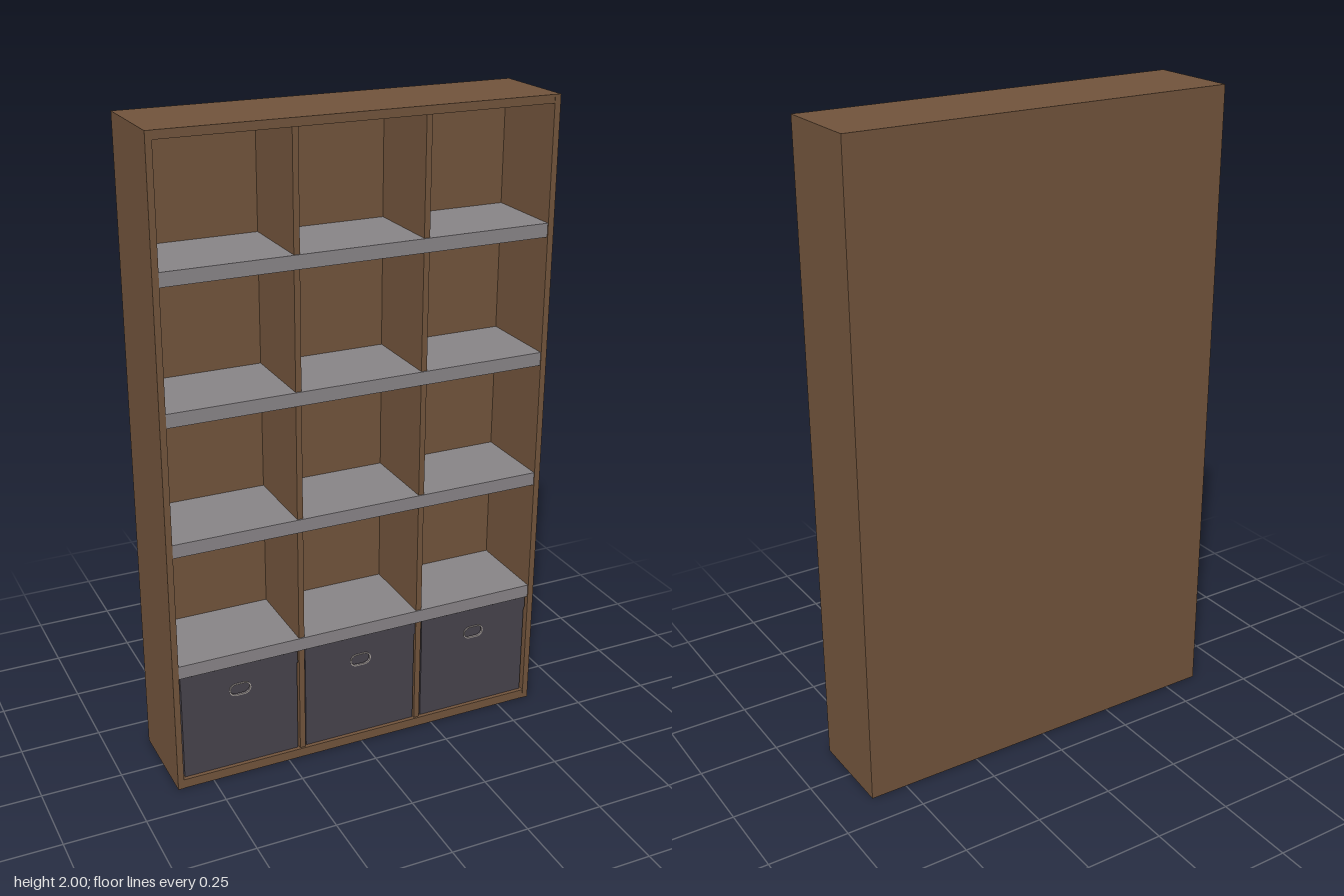
import * as THREE from 'three';

const mat = (name, color) => {
  const m = new THREE.MeshStandardMaterial({ color });
  m.name = name;
  return m;
};

// Stadium outline used for the grip holes and their rims
function stadium(PathType, w, h, y) {
  const r = h / 2, s = w / 2 - r;
  const p = new PathType();
  p.absarc(s, y, r, -Math.PI / 2, Math.PI / 2, false);
  p.absarc(-s, y, r, Math.PI / 2, Math.PI * 1.5, false);
  p.closePath();
  return p;
}

export function createModel() {
  const wood = mat('brown wood', 0x70533b);
  const grey = mat('grey shelf', 0x878386);
  const fabric = mat('charcoal fabric', 0x46424a);
  const metal = mat('pale rim', 0xa39c98);

  const model = new THREE.Group();
  model.name = 'bookcase';

  // Box given by its min and max corners
  function box(parent, name, material, [x0, y0, z0], [x1, y1, z1]) {
    const mesh = new THREE.Mesh(new THREE.BoxGeometry(x1 - x0, y1 - y0, z1 - z0), material);
    mesh.position.set((x0 + x1) / 2, (y0 + y1) / 2, (z0 + z1) / 2);
    mesh.name = name;
    parent.add(mesh);
    return mesh;
  }
  function extrude(parent, name, material, shape, depth, z) {
    const geo = new THREE.ExtrudeGeometry(shape, { depth, bevelEnabled: false, curveSegments: 10 });
    const mesh = new THREE.Mesh(geo, material);
    mesh.position.z = z;
    mesh.name = name;
    parent.add(mesh);
  }

  const W = 0.615, D = 0.145, IN = 0.596;

  // Carcass
  box(model, 'rightSide', wood, [-W, 0, -D], [-IN, 2, D]);
  box(model, 'leftSide', wood, [IN, 0, -D], [W, 2, D]);
  box(model, 'backPanel', wood, [-IN, 0, -D], [IN, 2, -0.127]);
  box(model, 'topPanel', wood, [-IN, 1.975, -0.127], [IN, 2, D - 0.001]);
  box(model, 'bottomPanel', wood, [-IN, 0, -0.127], [IN, 0.03, D - 0.001]);

  // Upright dividers
  for (const x of [-0.2, 0.2])
    box(model, 'divider', wood, [x - 0.009, 0.03, -0.127], [x + 0.009, 1.975, 0.138]);

  // Shelves
  for (const y of [0.405, 0.805, 1.205, 1.606])
    box(model, 'shelf', grey, [-IN, y - 0.021, -0.127], [IN, y + 0.021, 0.142]);

  // Storage bins, with a grip hole through front and back
  for (const x of [-0.402, 0, 0.402]) {
    const bin = new THREE.Group();
    bin.name = 'storageBin';
    bin.position.x = x;
    const w = 0.187, y0 = 0.032, y1 = 0.38, zf = 0.134, zb = -0.122, t = 0.006;
    const panel = new THREE.Shape([
      new THREE.Vector2(-w, y0), new THREE.Vector2(w, y0),
      new THREE.Vector2(w, y1), new THREE.Vector2(-w, y1),
    ]);
    panel.holes.push(stadium(THREE.Path, 0.062, 0.034, 0.297));
    extrude(bin, 'binFront', fabric, panel, t, zf - t);
    extrude(bin, 'binBack', fabric, panel, t, zb);
    box(bin, 'binSide', fabric, [-w, y0, zb + t], [-w + t, y1, zf - t]);
    box(bin, 'binSide', fabric, [w - t, y0, zb + t], [w, y1, zf - t]);
    box(bin, 'binFloor', fabric, [-w + t, y0, zb + t], [w - t, y0 + t, zf - t]);
    // Folded hem along the top edge
    box(bin, 'binHem', fabric, [-w - 0.002, 0.341, zf], [w + 0.002, y1, zf + 0.002]);
    // Rim of the grip hole
    const rim = stadium(THREE.Shape, 0.07, 0.042, 0.297);
    rim.holes.push(stadium(THREE.Path, 0.062, 0.034, 0.297));
    extrude(bin, 'gripRim', metal, rim, 0.004, zf - 0.001);
    model.add(bin);
  }
  return model;
}
